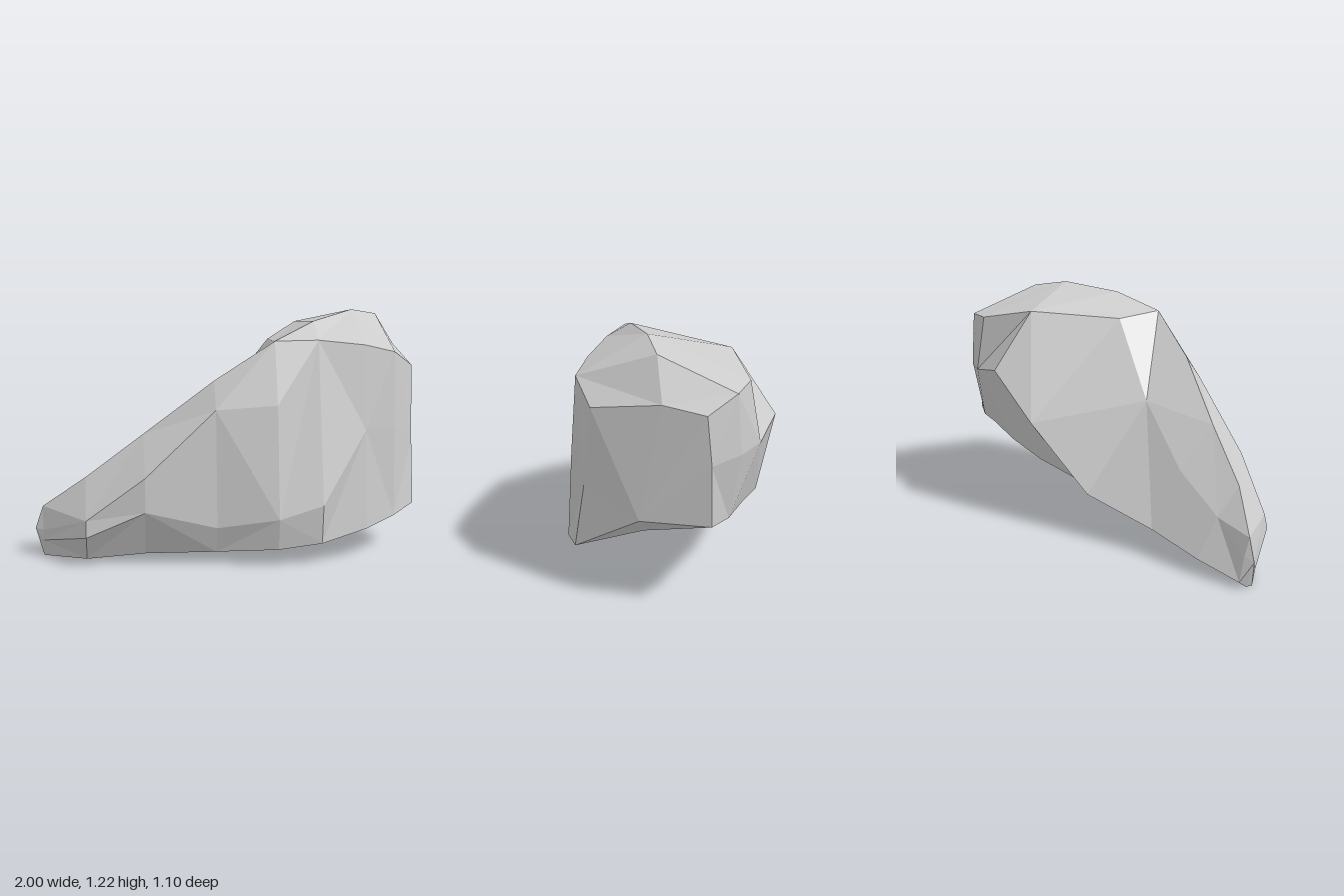
import * as THREE from 'three';

// Cross-sections from tail to broad end: x, then [z, y] around the loop:
// top ridge, back crest, back edge, back foot, underside, front foot, front lower, front shoulder
const SECTIONS = [
  { x: -0.74, ring: [[0.26, 0.42], [0.14, 0.28], [0.03, 0.08], [0.1, 0.06], [0.22, 0.03], [0.37, 0.03], [0.44, 0.16], [0.42, 0.24]] },
  { x: -0.45, ring: [[0.29, 0.64], [0.1, 0.43], [-0.06, 0.14], [0.06, 0.1], [0.2, 0.07], [0.38, 0.05], [0.48, 0.29], [0.47, 0.46]] },
  { x: -0.1, ring: [[0.34, 0.91], [0.1, 0.7], [-0.25, 0.24], [-0.12, 0.2], [0.13, 0.12], [0.44, 0.065], [0.48, 0.2], [0.43, 0.78]] },
  { x: 0.2, ring: [[0.34, 1.1], [0.1, 1.08], [-0.43, 0.57], [-0.38, 0.36], [0.1, 0.16], [0.52, 0.09], [0.545, 0.25], [0.45, 0.8]] },
  { x: 0.42, ring: [[0.2, 1.18], [-0.32, 1.12], [-0.54, 0.82], [-0.45, 0.42], [0, 0.25], [0.51, 0.11], [0.53, 0.31], [0.33, 1.1]] },
  { x: 0.66, ring: [[0, 1.215], [-0.5, 1.06], [-0.55, 0.77], [-0.46, 0.45], [0, 0.31], [0.45, 0.16], [0.38, 0.65], [0.31, 1.07]] },
  { x: 0.82, ring: [[-0.12, 1.18], [-0.5, 1.05], [-0.52, 0.77], [-0.46, 0.45], [0, 0.33], [0.37, 0.2], [0.33, 0.65], [0.29, 1.03]] },
  { x: 0.95, ring: [[-0.2, 1.0], [-0.41, 0.98], [-0.43, 0.75], [-0.43, 0.46], [-0.1, 0.38], [0.26, 0.23], [0.2, 0.55], [0.15, 0.94]] },
];

export function createModel() {
  const rings = SECTIONS.map(({ x, ring }) => ring.map(([z, y]) => new THREE.Vector3(x, y, z)));

  // Blunt tail: the first section shrunk towards the tip
  rings.unshift(rings[0].map((p) =>
    new THREE.Vector3(-0.96, (p.y - 0.03) * 0.65, 0.17 + (p.z - 0.23) * 0.22)));

  const positions = [];
  const triangle = (...corners) => corners.forEach((p) => positions.push(p.x, p.y, p.z));
  const count = rings[0].length;

  // Facets between neighbouring sections, with alternating diagonals
  for (let i = 0; i < rings.length - 1; i++) {
    for (let j = 0; j < count; j++) {
      const k = (j + 1) % count;
      const a = rings[i][j], b = rings[i + 1][j], c = rings[i + 1][k], d = rings[i][k];
      if ((i + j) % 2) {
        triangle(a, b, d);
        triangle(b, c, d);
      } else {
        triangle(a, b, c);
        triangle(a, c, d);
      }
    }
  }

  // Faceted ends
  const tailTip = new THREE.Vector3(-1, 0.14, 0.18);
  const broadEnd = new THREE.Vector3(1, 0.45, -0.1);
  const last = rings[rings.length - 1];
  for (let j = 0; j < count; j++) {
    const k = (j + 1) % count;
    triangle(tailTip, rings[0][j], rings[0][k]);
    triangle(broadEnd, last[k], last[j]);
  }

  const geometry = new THREE.BufferGeometry();
  geometry.setAttribute('position', new THREE.Float32BufferAttribute(positions, 3));
  geometry.computeVertexNormals();

  const rock = new THREE.Mesh(geometry, new THREE.MeshStandardMaterial({ color: 0xcccccc, flatShading: true }));
  rock.name = 'rock';
  const group = new THREE.Group();
  group.name = 'boulder';
  group.add(rock);
  return group;
}
